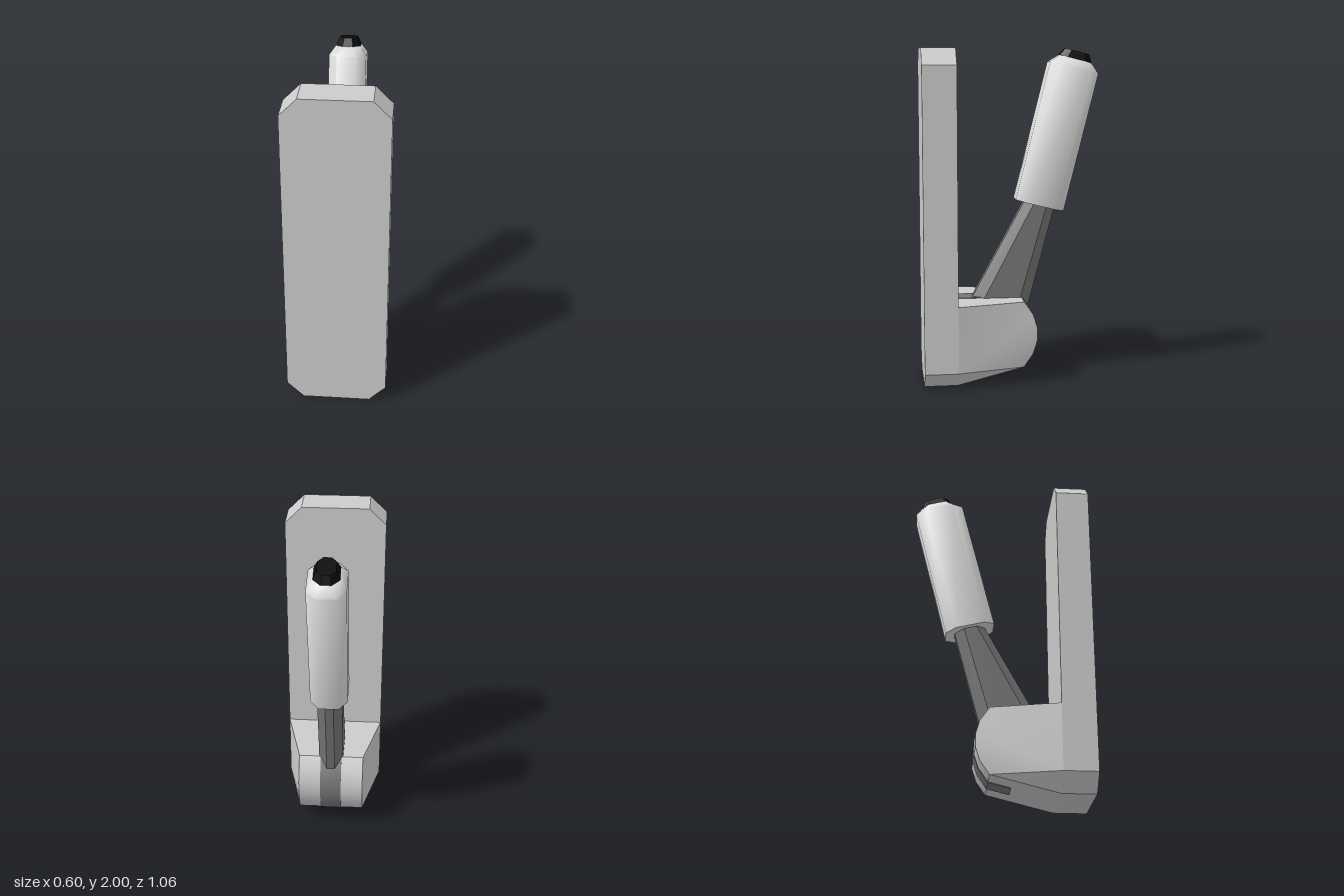
import * as THREE from 'three';
import { toCreasedNormals } from 'three/addons/utils/BufferGeometryUtils.js';

const mat = (name, color) => {
  const m = new THREE.MeshStandardMaterial({ color });
  m.name = name;
  return m;
};

function fromTriangles(points, crease) {
  const g = new THREE.BufferGeometry();
  g.setAttribute('position', new THREE.Float32BufferAttribute(points.flat(), 3));
  return toCreasedNormals(g, crease);
}

// Eight-sided ring: half width, half depth, flat half width, flat half depth
function ring(y, zc, hx, hz, cx, cz) {
  return [[-cx, hz], [cx, hz], [hx, cz], [hx, -cz], [cx, -hz], [-cx, -hz], [-hx, -cz], [-hx, cz]]
    .map(([x, z]) => [x, y, zc + z]);
}

// Closed solid through rings listed from bottom to top
function loft(rings, crease) {
  const t = [];
  const n = rings[0].length;
  for (let k = 0; k < rings.length - 1; k++) {
    const a = rings[k], b = rings[k + 1];
    for (let i = 0; i < n; i++) {
      const j = (i + 1) % n;
      t.push(a[i], a[j], b[j], a[i], b[j], b[i]);
    }
  }
  const lo = rings[0], hi = rings[rings.length - 1];
  for (let i = 1; i < n - 1; i++) t.push(hi[0], hi[i], hi[i + 1], lo[0], lo[i + 1], lo[i]);
  return fromTriangles(t, crease);
}

export function createModel() {
  const group = new THREE.Group();
  const lightGrey = mat('lightGrey', 0xcccccc);
  const paleGrey = mat('paleGrey', 0xdcdcdc);
  const darkGrey = mat('darkGrey', 0x777777);
  const black = mat('black', 0x0c0c0c);
  const add = (name, geometry, material, parent = group) => {
    const m = new THREE.Mesh(geometry, material);
    m.name = name;
    parent.add(m);
    return m;
  };

  // Tall mounting plate with clipped corners
  const plate = new THREE.Shape([
    [-0.2, 0], [0.2, 0], [0.3, 0.1], [0.3, 1.9], [0.2, 2], [-0.2, 2], [-0.3, 1.9], [-0.3, 0.1],
  ].map(([x, y]) => new THREE.Vector2(x, y)));
  const plateGeo = new THREE.ExtrudeGeometry(plate, { depth: 0.2, bevelEnabled: false });
  add('mountingPlate', plateGeo.translate(0, 0, 0.335), lightGrey);

  // Tapered pivot housing with a rounded nose: [half width, y, z]
  const profile = [
    [0.3, 0.5, 0.335], [0.2, 0.5, -0.065], [0.2, 0.42, -0.12], [0.2, 0.34, -0.145],
    [0.2, 0.26, -0.145], [0.2, 0.18, -0.12], [0.2, 0.1, -0.065], [0.2, 0, 0.335],
  ];
  const corner = [0.3, 0.1, 0.335];
  const flip = ([x, y, z]) => [-x, y, z];
  const tris = [];
  for (let i = 0; i < profile.length - 1; i++) {
    const a = profile[i], b = profile[i + 1];
    tris.push(a, b, flip(b), a, flip(b), flip(a));
    tris.push(corner, b, a, flip(corner), flip(a), flip(b));
  }
  add('pivotHousing', fromTriangles(tris, 0.6), lightGrey);

  // Dark slot band wrapped over the housing
  const path = profile.slice(0, 7).map(([, y, z]) => [z, y]);
  path.push([0.065, 0.0675]);
  const outer = path.map(([z, y]) => new THREE.Vector2(-z * 1.02, 0.3 + (y - 0.3) * 1.02));
  const inner = path.map(([z, y]) => new THREE.Vector2(-z, y)).reverse();
  const band = new THREE.ExtrudeGeometry(new THREE.Shape([...outer, ...inner]), { depth: 0.13, bevelEnabled: false });
  band.rotateY(Math.PI / 2).translate(-0.065, 0, 0);
  add('slotBand', toCreasedNormals(band, 0.6), darkGrey);

  // Lever arm, deep at the pivot and slimmer at the grip
  add('leverArm', loft([
    ring(0.4, 0.0925, 0.075, 0.1925, 0.025, 0.122),
    ring(1.12, -0.198, 0.075, 0.092, 0.025, 0.035),
  ], 0.1), darkGrey);

  // Leaning hand grip with a bevelled shoulder and black tip
  const handle = new THREE.Group();
  handle.name = 'handle';
  handle.position.set(0, 1.062, -0.177);
  handle.rotation.x = -14 * Math.PI / 180;
  group.add(handle);
  add('grip', loft([
    ring(0, 0, 0.11, 0.15, 0.06, 0.088),
    ring(0.848, 0, 0.11, 0.15, 0.06, 0.088),
    ring(0.9, 0, 0.073, 0.1, 0.03, 0.055),
  ], 1.0), paleGrey, handle);
  add('gripTip', loft([
    ring(0.9, 0, 0.073, 0.1, 0.03, 0.055),
    ring(0.947, 0, 0.052, 0.075, 0.022, 0.04),
  ], 0.6), black, handle);

  return group;
}
